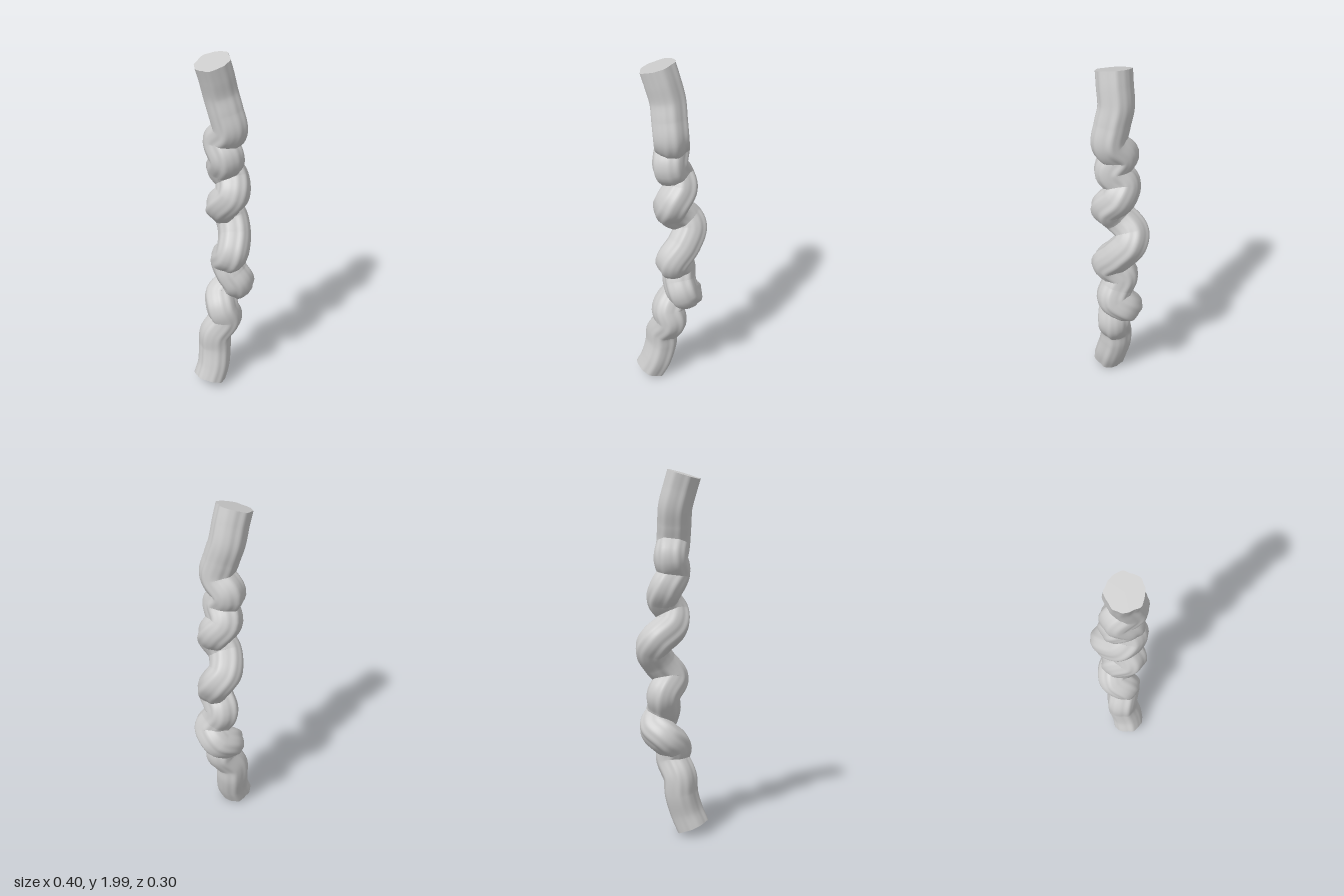
import * as THREE from 'three';
import { mergeVertices } from 'three/addons/utils/BufferGeometryUtils.js';

// Centre line of the gnarled stem, from the foot to the tip
const PATH = [
  [-0.115, 0.05, 0], [-0.08, 0.13, 0], [-0.052, 0.24, -0.015], [-0.045, 0.33, -0.015],
  [0.005, 0.43, 0.02], [-0.012, 0.5, 0.005], [0.03, 0.555, -0.04], [0.09, 0.6, -0.01],
  [0.07, 0.66, 0.05], [0.05, 0.72, 0.02], [0.045, 0.79, -0.012], [0.015, 0.87, 0.055],
  [0.075, 0.96, 0.02], [0.105, 1.04, -0.035], [0.075, 1.09, -0.055], [0.003, 1.165, 0],
  [0.015, 1.24, 0.055], [0.053, 1.31, 0.015], [0.03, 1.37, -0.02], [-0.003, 1.45, 0.03],
  [0.005, 1.53, -0.02], [0.005, 1.61, 0.045], [-0.005, 1.71, 0.025], [-0.015, 1.8, 0],
  [-0.042, 1.9, -0.005], [-0.065, 1.973, -0.01],
].map((p) => new THREE.Vector3(...p));

const STEPS = 260, SIDES = 64, RADIUS = 0.091;

// Rounded ridges and grooves that run along the bark
const ridge = (a) => 1 + 0.03 * Math.sin(5 * a + 0.6) + 0.022 * Math.sin(8 * a + 2)
  + 0.012 * Math.sin(13 * a);

export function createModel() {
  const group = new THREE.Group();
  const material = new THREE.MeshStandardMaterial({ color: 0xcccccc });
  const curve = new THREE.CatmullRomCurve3(PATH, false, 'centripetal');
  curve.arcLengthDivisions = 1000;

  // Stem: a tube whose round section is pushed in and out into ridges
  const tube = new THREE.TubeGeometry(curve, STEPS, RADIUS, SIDES, false);
  const pos = tube.attributes.position;
  const v = new THREE.Vector3();
  const rings = [];
  for (let i = 0; i <= STEPS; i++) {
    const centre = curve.getPointAt(i / STEPS);
    const ring = [];
    for (let j = 0; j <= SIDES; j++) {
      const k = i * (SIDES + 1) + j;
      v.fromBufferAttribute(pos, k).sub(centre)
        .multiplyScalar(ridge(((j % SIDES) / SIDES) * Math.PI * 2)).add(centre);
      pos.setXYZ(k, v.x, v.y, v.z);
      ring.push(v.clone());
    }
    rings.push(ring);
  }
  tube.deleteAttribute('normal');
  tube.deleteAttribute('uv');
  const stemGeometry = mergeVertices(tube, 1e-5);
  stemGeometry.computeVertexNormals();
  const stem = new THREE.Mesh(stemGeometry, material);
  stem.name = 'twistedStem';
  group.add(stem);

  // Flat sawn ends, each a fan around the centre of the end ring
  const addEnd = (name, ring, centre, outward) => {
    const points = [];
    for (let j = 0; j < SIDES; j++) {
      const tri = [centre, ring[j], ring[j + 1]];
      const n = new THREE.Triangle(...tri).getNormal(new THREE.Vector3());
      if (n.dot(outward) < 0) tri.reverse();
      points.push(...tri);
    }
    const geometry = new THREE.BufferGeometry().setFromPoints(points);
    geometry.computeVertexNormals();
    const mesh = new THREE.Mesh(geometry, material);
    mesh.name = name;
    group.add(mesh);
  };
  addEnd('bottomEnd', rings[0], curve.getPointAt(0), curve.getTangentAt(0).negate());
  addEnd('topEnd', rings[STEPS], curve.getPointAt(1), curve.getTangentAt(1));

  return group;
}
